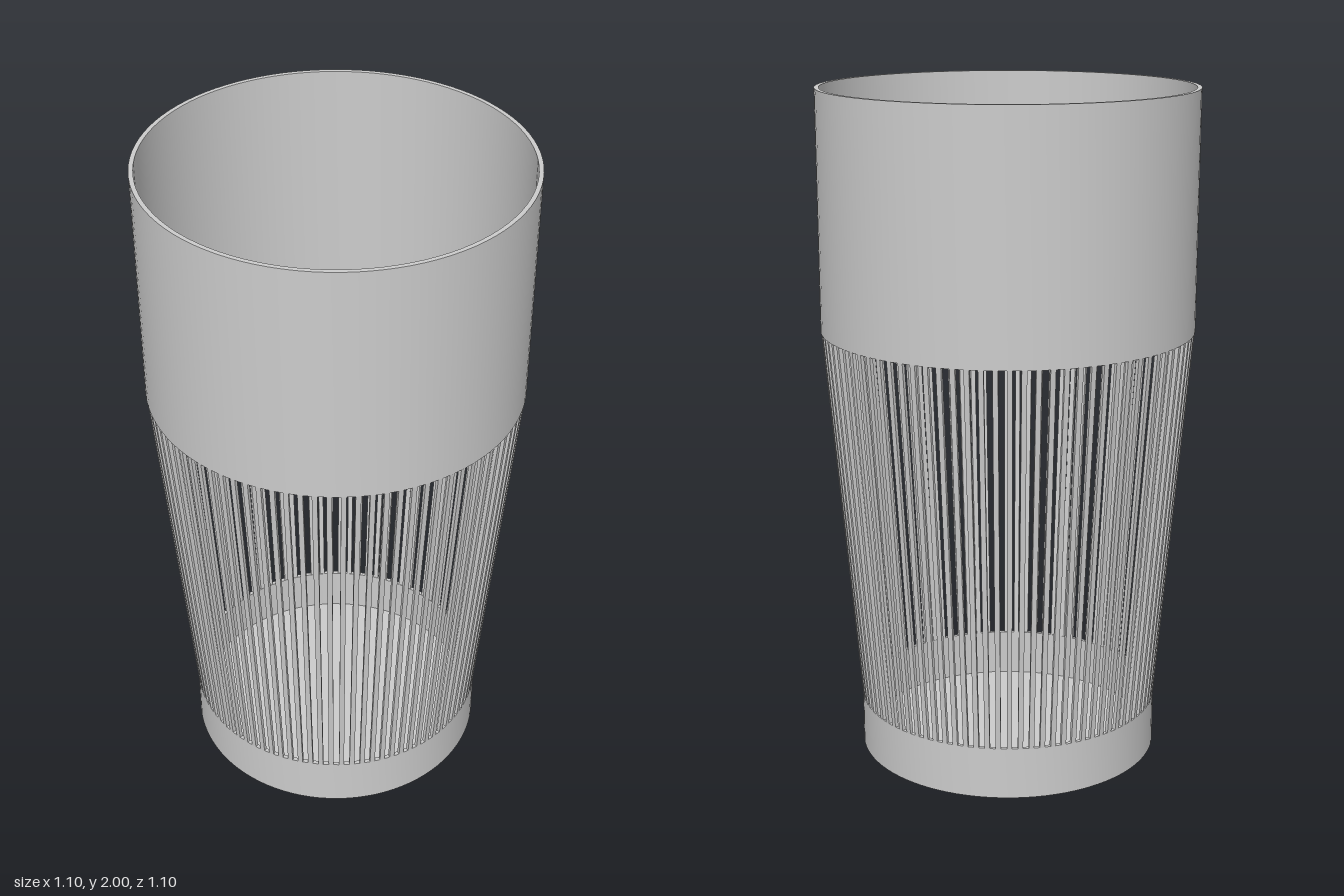
import * as THREE from 'three';
import { toCreasedNormals } from 'three/addons/utils/BufferGeometryUtils.js';

const material = new THREE.MeshStandardMaterial({ color: 0xcccccc, side: THREE.DoubleSide });

// Ring or cup turned from a [radius, height] profile, with sharp rims
function turned(name, profile) {
  const points = profile.map(([r, y]) => new THREE.Vector2(r, y));
  const geometry = toCreasedNormals(new THREE.LatheGeometry(points, 96), 0.6);
  const mesh = new THREE.Mesh(geometry, material);
  mesh.name = name;
  return mesh;
}

export function createModel() {
  const bin = new THREE.Group();
  bin.name = 'slattedBin';

  // Shallow cup with a thin floor
  bin.add(turned('baseCup', [
    [0, 0], [0.45, 0], [0.45, 0.155], [0.438, 0.155], [0.438, 0.012], [0, 0.012],
  ]));

  // Tall plain band around the mouth
  bin.add(turned('upperBand', [
    [0.537, 1.3], [0.55, 1.3], [0.55, 2], [0.537, 2], [0.537, 1.3],
  ]));

  // Thin slats leaning outward from the cup to the band
  const count = 88, bottom = [0.444, 0.15], top = [0.543, 1.305];
  const rise = top[1] - bottom[1], run = top[0] - bottom[0];
  const slatGeometry = new THREE.BoxGeometry(0.015, Math.hypot(rise, run), 0.011);
  slatGeometry.rotateX(Math.atan2(run, rise));
  slatGeometry.translate(0, (bottom[1] + top[1]) / 2, (bottom[0] + top[0]) / 2);
  const slats = new THREE.Group();
  slats.name = 'slats';
  for (let i = 0; i < count; i++) {
    const slat = new THREE.Mesh(slatGeometry, material);
    slat.name = 'slat';
    slat.rotation.y = (i / count) * Math.PI * 2;
    slats.add(slat);
  }
  bin.add(slats);
  return bin;
}
